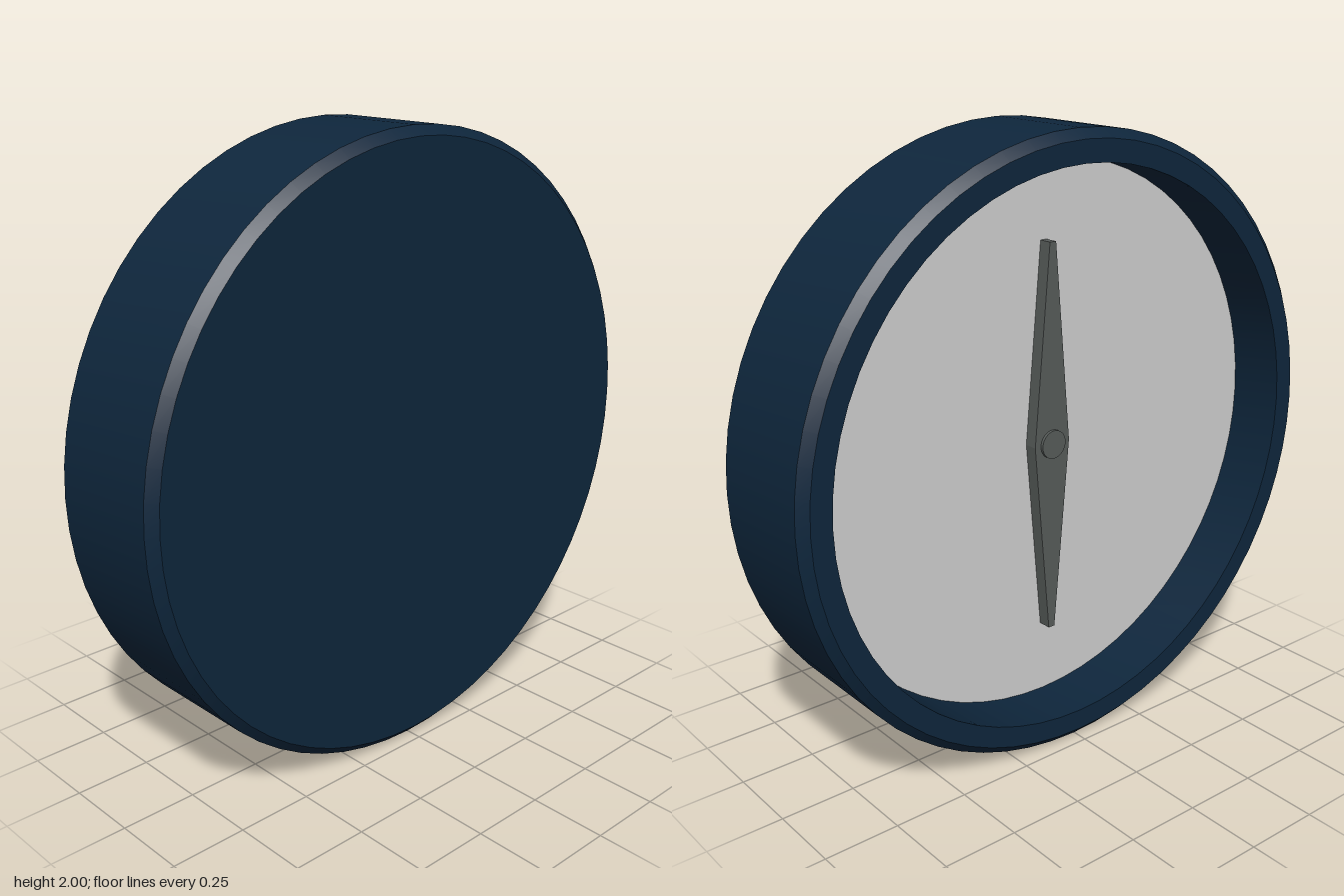
import * as THREE from 'three';
import { toCreasedNormals } from 'three/addons/utils/BufferGeometryUtils.js';

const SEGMENTS = 64;
const DIAL_Z = -0.03;      // the dial looks towards -z
const BORE = 0.9;          // inner radius of the rim

function material(name, color) {
  const m = new THREE.MeshStandardMaterial({ color });
  m.name = name;
  return m;
}

export function createModel() {
  const group = new THREE.Group();
  group.name = 'compass';
  const navy = material('navy case', 0x0e263c);
  const silver = material('silver dial', 0xd0d0d0);
  const grey = material('grey needle', 0x575c5a);

  function add(name, geometry, mat, z = 0) {
    const mesh = new THREE.Mesh(geometry, mat);
    mesh.name = name;
    mesh.position.set(0, 1, z);
    group.add(mesh);
    return mesh;
  }

  // Case: bored rim, chamfered outer edges and closed front
  const profile = [
    [BORE, DIAL_Z], [BORE, -0.225], [0.97, -0.225], [1, -0.195],
    [1, 0.195], [0.97, 0.225], [0, 0.225],
  ].map(([r, y]) => new THREE.Vector2(r, y));
  const caseGeometry = new THREE.LatheGeometry(profile, SEGMENTS);
  caseGeometry.rotateX(Math.PI / 2);
  add('case', toCreasedNormals(caseGeometry, 0.5), navy);

  // Dial: disc at the bottom of the recess
  const dial = new THREE.CircleGeometry(BORE, SEGMENTS);
  dial.rotateY(Math.PI);
  add('dial', dial, silver, DIAL_Z);

  // Needle: long diamond with blunt tips
  const needleShape = new THREE.Shape([
    [0.07, 0], [0.012, 0.65], [-0.012, 0.65],
    [-0.07, 0], [-0.012, -0.65], [0.012, -0.65],
  ].map(([x, y]) => new THREE.Vector2(x, y)));
  const needle = new THREE.ExtrudeGeometry(needleShape, { depth: 0.045, bevelEnabled: false });
  add('needle', needle, grey, DIAL_Z - 0.045);

  // Pivot pin standing slightly proud of the needle
  const pivot = new THREE.CylinderGeometry(0.047, 0.047, 0.055, 32);
  pivot.rotateX(Math.PI / 2);
  add('pivot', pivot, grey, DIAL_Z - 0.0275);

  return group;
}
